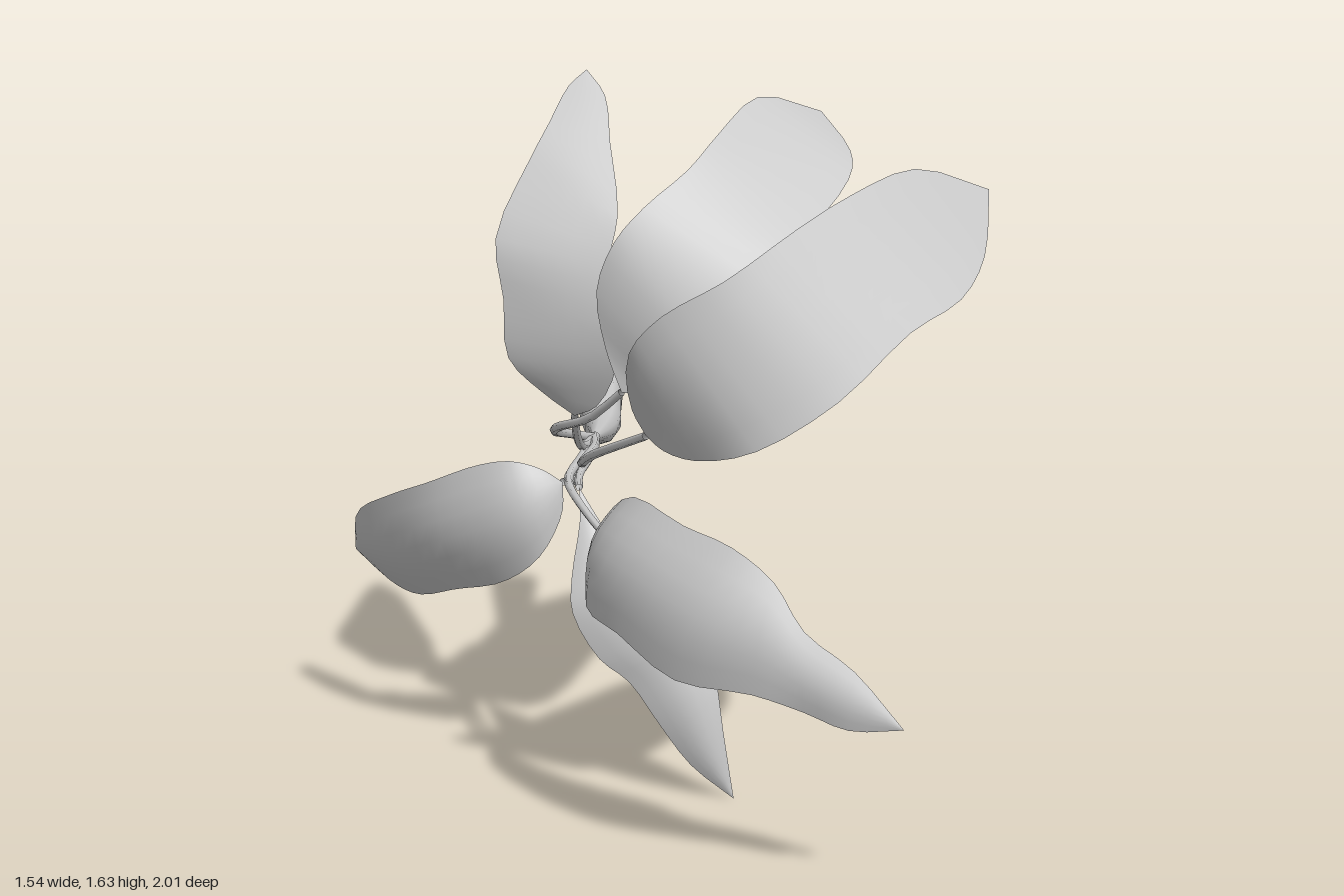
import * as THREE from 'three';

const grey = new THREE.MeshStandardMaterial({ color: 0xcccccc, side: THREE.DoubleSide });
grey.name = 'plain grey';

const curve = (pts) => new THREE.CatmullRomCurve3(pts.map((p) => new THREE.Vector3(...p)));

function part(name, geometry) {
  const mesh = new THREE.Mesh(geometry, grey);
  mesh.name = name;
  return mesh;
}

// Round open tube whose radius follows evenly spaced values along the path
function taperedTube(points, radii, segments, sides) {
  const path = curve(points);
  const geo = new THREE.TubeGeometry(path, segments, 1, sides);
  const pos = geo.attributes.position, nor = geo.attributes.normal;
  for (let i = 0; i <= segments; i++) {
    const centre = path.getPointAt(i / segments);
    const f = (i / segments) * (radii.length - 1);
    const k = Math.min(Math.floor(f), radii.length - 2);
    const r = THREE.MathUtils.lerp(radii[k], radii[k + 1], f - k);
    for (let j = 0; j <= sides; j++) {
      const v = i * (sides + 1) + j;
      const n = new THREE.Vector3().fromBufferAttribute(nor, v);
      pos.setXYZ(v, ...n.multiplyScalar(r).add(centre).toArray());
    }
  }
  return geo;
}

// Leaf blade lofted between its two edge curves, domed along the midrib
function leafBlade({ base, tip, left, right, dome }, rows = 24, cols = 6) {
  const a = curve([base, ...left, tip]), b = curve([base, ...right, tip]);
  const verts = [], index = [];
  for (let i = 0; i <= rows; i++) {
    const t = i / rows;
    const p = a.getPoint(t), q = b.getPoint(t);
    const across = q.clone().sub(p);
    const along = a.getTangent(t).add(b.getTangent(t));
    const out = across.clone().cross(along).normalize();
    for (let j = 0; j <= cols; j++) {
      const s = j / cols;
      const rise = dome * across.length() * Math.sin(Math.PI * s);
      verts.push(...p.clone().addScaledVector(across, s).addScaledVector(out, rise).toArray());
      if (i < rows && j < cols) {
        const v = i * (cols + 1) + j, w = v + cols + 1;
        index.push(v, v + 1, w, v + 1, w + 1, w);
      }
    }
  }
  const geo = new THREE.BufferGeometry();
  geo.setAttribute('position', new THREE.Float32BufferAttribute(verts, 3));
  geo.setIndex(index);
  geo.computeVertexNormals();
  return geo;
}

// Each leaf: stalk path after the stem end, blade base and tip, both edges, and midrib rise
const leaves = {
  upperLeaf: {
    dome: 0.03,
    stalk: [[-0.18, 0.71, -0.18], [-0.18, 0.77, -0.02]],
    base: [-0.175, 0.85, 0.11], tip: [-0.17, 1.635, -0.235],
    left: [[-0.25, 0.905, 0.11], [-0.33, 0.99, 0.12], [-0.34, 1.13, 0.12], [-0.36, 1.27, 0.09],
      [-0.29, 1.44, -0.02], [-0.25, 1.52, -0.1], [-0.21, 1.6, -0.19]],
    right: [[-0.12, 0.88, 0.14], [-0.07, 0.99, 0.19], [-0.09, 1.09, 0.2], [-0.09, 1.22, 0.18],
      [-0.07, 1.33, 0.13], [-0.1, 1.48, -0.05], [-0.12, 1.58, -0.16]],
  },
  upperBackLeaf: {
    dome: 0,
    stalk: [[-0.22, 0.725, -0.25], [-0.235, 0.77, -0.07], [-0.21, 0.83, 0.14], [-0.12, 0.89, 0.3]],
    base: [-0.045, 0.965, 0.38], tip: [0.4, 1.535, -0.26],
    left: [[-0.08, 1.06, 0.375], [-0.1, 1.2, 0.39], [-0.06, 1.31, 0.4], [0.005, 1.385, 0.37],
      [0.1, 1.46, 0.29], [0.165, 1.53, 0.19], [0.25, 1.595, 0]],
    right: [[0.03, 0.965, 0.4], [0.1, 1.0, 0.44], [0.18, 1.07, 0.455], [0.29, 1.21, 0.4],
      [0.37, 1.31, 0.27], [0.465, 1.41, 0.055], [0.47, 1.46, -0.09]],
  },
  upperFrontLeaf: {
    dome: 0,
    stalk: [[-0.15, 0.71, -0.18], [-0.155, 0.745, 0.15], [-0.1, 0.84, 0.46]],
    base: [0.03, 0.94, 0.71], tip: [0.77, 1.435, 0.39],
    left: [[0, 1.0, 0.72], [0, 1.14, 0.81], [0.07, 1.225, 0.845], [0.2, 1.3, 0.845],
      [0.35, 1.4, 0.77], [0.46, 1.46, 0.69], [0.6, 1.5, 0.55]],
    right: [[0.07, 0.915, 0.745], [0.14, 0.905, 0.79], [0.27, 0.945, 0.87], [0.44, 1.05, 0.86],
      [0.59, 1.18, 0.76], [0.7, 1.235, 0.66], [0.755, 1.31, 0.54]],
  },
  sideLeaf: {
    dome: 0.12,
    stalk: [[-0.2, 0.62, -0.29], [-0.2, 0.615, -0.21], [-0.19, 0.65, -0.08]],
    base: [-0.2, 0.7, 0.16], tip: [-0.77, 0.41, -0.28],
    left: [[-0.2, 0.63, 0.18], [-0.25, 0.53, 0.2], [-0.34, 0.455, 0.16], [-0.47, 0.405, 0.06],
      [-0.58, 0.35, -0.08], [-0.66, 0.35, -0.18]],
    right: [[-0.25, 0.735, 0.175], [-0.32, 0.755, 0.185], [-0.4, 0.74, 0.165], [-0.53, 0.68, 0.1],
      [-0.64, 0.62, -0.01], [-0.745, 0.535, -0.165]],
  },
  lowerFrontLeaf: {
    dome: 0.12,
    stalk: [[-0.18, 0.695, -0.1], [-0.19, 0.695, 0.12], [-0.13, 0.685, 0.37]],
    base: [-0.085, 0.665, 0.475], tip: [0.585, 0.385, 1],
    left: [[-0.07, 0.71, 0.51], [0, 0.79, 0.65], [0.115, 0.76, 0.78], [0.22, 0.735, 0.86],
      [0.31, 0.67, 0.895], [0.375, 0.575, 0.935], [0.48, 0.5, 0.965]],
    right: [[-0.105, 0.6, 0.515], [-0.11, 0.525, 0.6], [-0.03, 0.505, 0.74], [0.1, 0.44, 0.86],
      [0.265, 0.435, 0.935], [0.375, 0.405, 0.955], [0.47, 0.375, 0.98]],
  },
  bottomLeaf: {
    dome: 0.14,
    stalk: [[-0.16, 0.69, -0.15], [-0.17, 0.69, 0.05]],
    base: [-0.16, 0.69, 0.17], tip: [0.215, 0.002, 0.385],
    left: [[-0.11, 0.62, 0.205], [-0.04, 0.53, 0.255], [0.05, 0.47, 0.315], [0.11, 0.43, 0.335],
      [0.145, 0.36, 0.355], [0.17, 0.295, 0.37], [0.19, 0.165, 0.385]],
    right: [[-0.155, 0.62, 0.215], [-0.17, 0.5, 0.27], [-0.165, 0.425, 0.315], [-0.1, 0.325, 0.35],
      [-0.03, 0.275, 0.365], [0.04, 0.18, 0.38], [0.115, 0.08, 0.38]],
  },
};

export function createModel() {
  const model = new THREE.Group();
  model.name = 'leafSprig';

  // Thick hollow stem tapering forward
  model.add(part('stem', taperedTube(
    [[-0.2, 0.673, -1], [-0.183, 0.665, -0.8], [-0.17, 0.661, -0.68], [-0.165, 0.667, -0.55], [-0.165, 0.688, -0.38]],
    [0.066, 0.062, 0.057, 0.053, 0.043, 0.026, 0.012], 18, 10)));

  // Leaves, each with a thin stalk running back into the stem
  for (const [name, leaf] of Object.entries(leaves)) {
    const group = new THREE.Group();
    group.name = name;
    group.add(part('stalk', taperedTube(
      [[-0.168, 0.675, -0.48], [-0.167, 0.685, -0.39], ...leaf.stalk, leaf.base], [0.012, 0.012, 0.009], 16, 6)));
    group.add(part('blade', leafBlade(leaf)));
    model.add(group);
  }
  return model;
}
